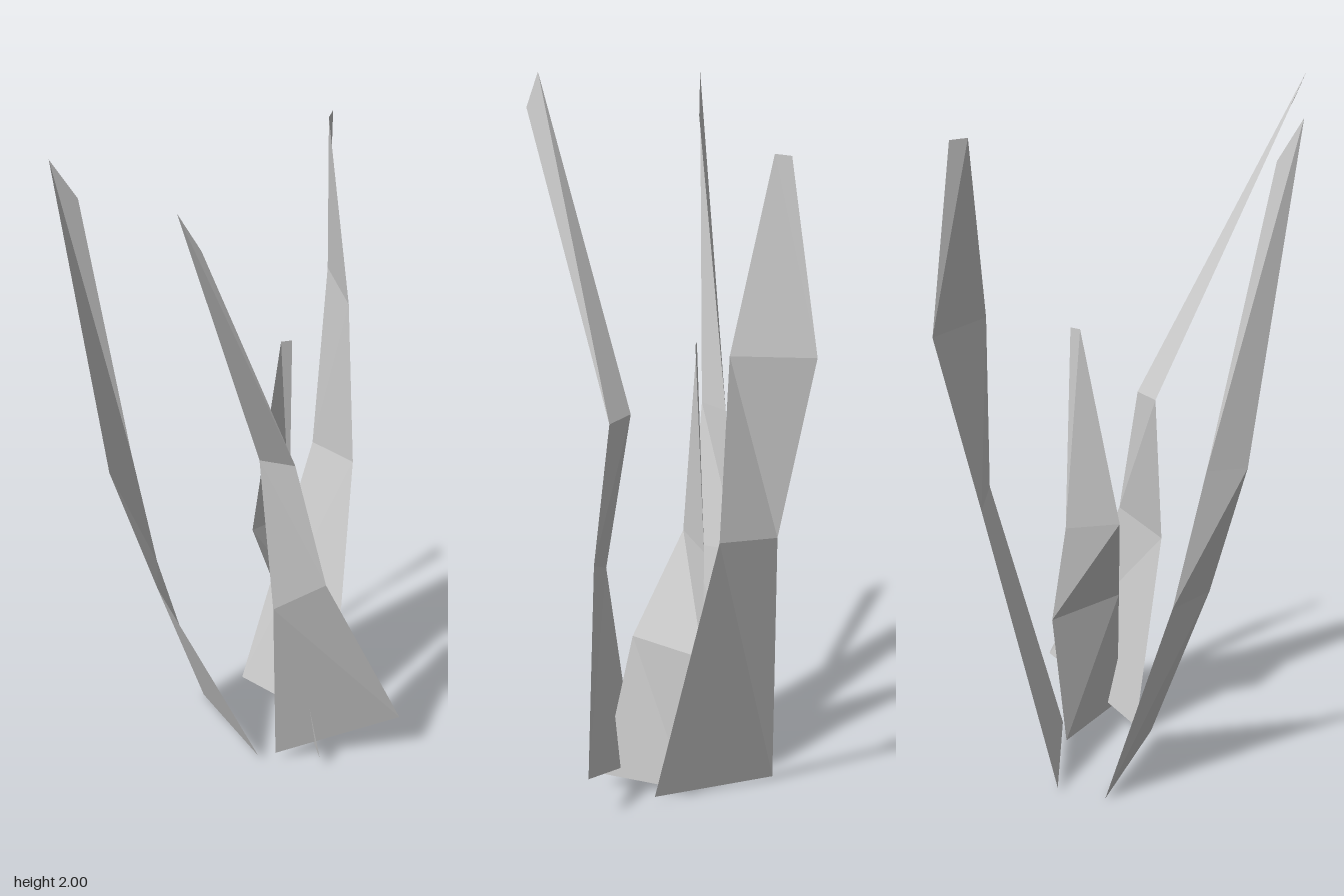
import * as THREE from 'three';

// Each blade is a folded ribbon: rows of [left edge point, right edge point] from base to tip.
const BLADES = {
  sideBlade: [
    [[0.163, 0.02, 0.135], [0.205, 0.012, -0.237]],
    [[0.37, 0.835, 0.053], [0.40, 0.83, -0.113]],
    [[0.37, 1.35, 0.026], [0.52, 1.355, -0.15]],
    [[0.41, 1.88, -0.08], [0.46, 1.88, -0.10]],
  ],
  backBlade: [
    [[-0.095, 0.025, 0.045], [0.073, 0, -0.29]],
    [[-0.228, 0.605, -0.217], [-0.113, 0.60, -0.31]],
    [[-0.314, 1.01, -0.307], [-0.20, 1.01, -0.32]],
    [[-0.428, 1.98, -0.365], [-0.368, 1.86, -0.326]],
  ],
  frontBlade: [
    [[-0.053, 0.025, 0.078], [0.187, 0.14, 0.362]],
    [[-0.132, 0.62, 0.125], [-0.018, 0.68, 0.227]],
    [[-0.104, 1.078, 0.057], [-0.063, 1.072, 0.149]],
    [[-0.522, 2, 0.119], [-0.496, 1.905, 0.171]],
  ],
  centerBlade: [
    [[-0.01, 0.04, 0.21], [0.16, 0.015, 0.03]],
    [[-0.005, 0.45, 0.11], [0.20, 0.43, 0]],
    [[0.008, 0.747, -0.05], [0.16, 0.73, -0.027]],
    [[0.115, 1.325, -0.028], [0.14, 1.325, -0.008]],
  ],
};

// Two separate triangles per fold, so every facet stays flat
function ribbon(rows) {
  const pos = [];
  for (let i = 0; i < rows.length - 1; i++) {
    const [l0, r0] = rows[i];
    const [l1, r1] = rows[i + 1];
    pos.push(...l0, ...r0, ...l1, ...r0, ...r1, ...l1);
  }
  const g = new THREE.BufferGeometry();
  g.setAttribute('position', new THREE.Float32BufferAttribute(pos, 3));
  g.computeVertexNormals();
  return g;
}

export function createModel() {
  const group = new THREE.Group();
  group.name = 'grassTuft';
  const grey = new THREE.MeshStandardMaterial({ color: 0xcccccc, side: THREE.DoubleSide, flatShading: true });
  grey.name = 'light grey';

  for (const [name, rows] of Object.entries(BLADES)) {
    const blade = new THREE.Mesh(ribbon(rows), grey);
    blade.name = name;
    group.add(blade);
  }
  return group;
}
